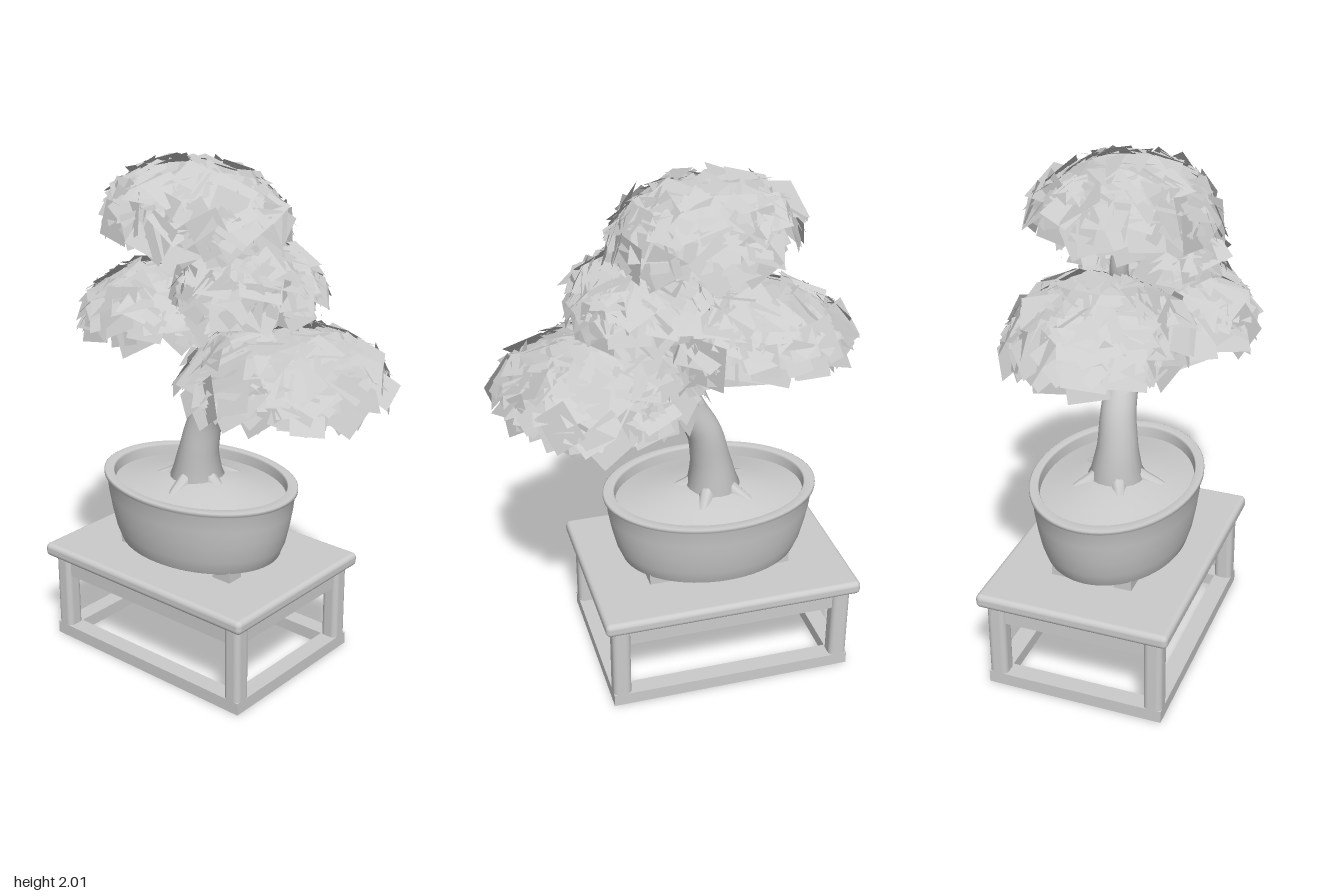
import * as THREE from 'three';
import { mergeGeometries } from 'three/addons/utils/BufferGeometryUtils.js';
import { RoundedBoxGeometry } from 'three/addons/geometries/RoundedBoxGeometry.js';

const grey = new THREE.MeshStandardMaterial({ color: 0xcccccc });
const greyDouble = new THREE.MeshStandardMaterial({ color: 0xcccccc, side: THREE.DoubleSide });
const CX = -0.155, CZ = -0.008; // centre of stand and pot

let seed = 7;
const rand = () => {
  seed = (seed * 16807) % 2147483647;
  return seed / 2147483647;
};
const spread = (a) => (rand() * 2 - 1) * a;

function add(parent, name, geometry, x = 0, y = 0, z = 0, material = grey) {
  const mesh = new THREE.Mesh(geometry, material);
  mesh.name = name;
  mesh.position.set(x, y, z);
  parent.add(mesh);
  return mesh;
}

// Tube along points [x, y, z, radius], tapering between the given radii
function taperedTube(points, segments = 32, sides = 14) {
  const curve = new THREE.CatmullRomCurve3(points.map((p) => new THREE.Vector3(p[0], p[1], p[2])));
  const geo = new THREE.TubeGeometry(curve, segments, 1, sides);
  const pos = geo.attributes.position, v = new THREE.Vector3();
  for (let i = 0; i <= segments; i++) {
    const c = curve.getPointAt(i / segments);
    const t = curve.getUtoTmapping(i / segments) * (points.length - 1);
    const k = Math.min(Math.floor(t), points.length - 2);
    const r = THREE.MathUtils.lerp(points[k][3], points[k + 1][3], t - k);
    for (let j = 0; j <= sides; j++) {
      const n = i * (sides + 1) + j;
      v.fromBufferAttribute(pos, n).sub(c).multiplyScalar(r).add(c);
      pos.setXYZ(n, v.x, v.y, v.z);
    }
  }
  return geo;
}

// Lathe with an oval plan
function ovalLathe(profile, depthRatio) {
  const geo = new THREE.LatheGeometry(profile.map((p) => new THREE.Vector2(p[0], p[1])), 64);
  return geo.scale(1, 1, depthRatio);
}

function createStand() {
  const stand = new THREE.Group();
  stand.name = 'stand';
  stand.position.set(CX, 0, CZ);
  add(stand, 'standTop', new RoundedBoxGeometry(1.03, 0.055, 0.755, 4, 0.02), 0, 0.3875, 0);
  for (const s of [-1, 1]) {
    for (const t of [-1, 1]) {
      add(stand, 'standLeg', new RoundedBoxGeometry(0.072, 0.365, 0.072, 4, 0.022), s * 0.449, 0.1825, t * 0.312);
    }
    add(stand, 'longApron', new THREE.BoxGeometry(0.86, 0.08, 0.04), 0, 0.32, s * 0.312);
    add(stand, 'shortApron', new THREE.BoxGeometry(0.04, 0.08, 0.6), s * 0.449, 0.32, 0);
    add(stand, 'longRail', new THREE.BoxGeometry(0.97, 0.05, 0.07), 0, 0.025, s * 0.313);
    add(stand, 'shortRail', new THREE.BoxGeometry(0.07, 0.05, 0.556), s * 0.45, 0.025, 0);
  }
  return stand;
}

function createPot() {
  const pot = new THREE.Group();
  pot.name = 'pot';
  pot.position.set(CX, 0, CZ);
  add(pot, 'potBowl', ovalLathe([
    [0, 0.45], [0.345, 0.45], [0.355, 0.455], [0.378, 0.51], [0.395, 0.58], [0.408, 0.65], [0.415, 0.715],
    [0.427, 0.724], [0.427, 0.735], [0.422, 0.738], [0.385, 0.738], [0.38, 0.73], [0.378, 0.66],
  ], 0.75), 0, 0, 0, greyDouble);
  add(pot, 'soil', ovalLathe([[0.38, 0.69], [0.33, 0.7], [0.25, 0.718], [0.15, 0.74], [0.07, 0.75], [0, 0.752]], 0.75));
  for (const s of [-1, 1]) for (const t of [-1, 1]) {
    add(pot, 'potFoot', new THREE.BoxGeometry(0.085, 0.05, 0.07), s * 0.245, 0.435, t * 0.125);
  }
  return pot;
}

function createWood() {
  const wood = new THREE.Group();
  wood.name = 'wood';
  add(wood, 'trunk', taperedTube([
    [-0.165, 0.7, CZ, 0.135], [-0.165, 0.76, CZ, 0.1], [-0.155, 0.86, CZ, 0.078], [-0.128, 0.98, -0.015, 0.068],
    [-0.068, 1.1, -0.02, 0.062], [-0.025, 1.22, -0.02, 0.054], [-0.04, 1.34, -0.015, 0.046],
    [-0.11, 1.46, 0, 0.04], [-0.178, 1.58, 0.01, 0.034], [-0.18, 1.68, 0.02, 0.03], [-0.13, 1.84, 0.02, 0.015],
  ], 70, 20));
  const branches = {
    rightBranch: [[-0.05, 1.1, -0.02, 0.035], [0.06, 1.14, -0.02, 0.027], [0.15, 1.19, -0.02, 0.021], [0.27, 1.32, 0, 0.012]],
    leftBranch: [[-0.04, 1.3, -0.015, 0.035], [-0.13, 1.35, -0.01, 0.026], [-0.23, 1.39, -0.01, 0.02], [-0.34, 1.48, 0, 0.012]],
    middleBranch: [[-0.08, 1.42, 0, 0.03], [0, 1.49, 0.01, 0.022], [0.06, 1.55, 0.02, 0.018], [0.12, 1.64, 0.02, 0.012]],
  };
  for (const [name, points] of Object.entries(branches)) add(wood, name, taperedTube(points, 18, 10));
  // Low surface roots sinking into the soil
  for (let i = 0; i < 5; i++) {
    const a = i * 1.257 + 0.2, c = Math.cos(a), s = Math.sin(a);
    const at = (d, y, r) => [-0.165 + c * d, y, CZ + s * d, r];
    add(wood, 'root', taperedTube([at(0.05, 0.77, 0.03), at(0.1, 0.735, 0.03), at(0.15, 0.715, 0.025), at(0.21, 0.69, 0.015)], 10, 8));
  }
  return wood;
}

// Smooth inner dome, hollowed below and clad with large, loosely overlapping leaves
function createPad(name, [x, y, z], [rx, h, rz], tilt, count) {
  const pad = new THREE.Group();
  pad.name = name;
  pad.position.set(x, y, z);
  pad.rotation.z = tilt;
  const core = new THREE.LatheGeometry(
    [[0, 0.38], [0.4, 0.34], [0.7, 0.22], [0.82, 0.18], [0.88, 0.26], [0.84, 0.45], [0.7, 0.68], [0.4, 0.88], [0, 0.95]]
      .map((p) => new THREE.Vector2(p[0], p[1])), 32);
  add(pad, 'foliageCore', core.scale(rx, h, rz));
  const leaves = [], leaf = new THREE.Object3D(), p = new THREE.Vector3(), n = new THREE.Vector3();
  for (let i = 0; i < count; i++) {
    // Even spiral from crown to rim
    const a = i * 2.39996 + spread(0.3);
    const phi = Math.acos(1 - ((i + 0.5) / count) * 0.93);
    const out = Math.pow(Math.sin(phi), 0.9) * (1 + spread(0.06));
    p.set(rx * out * Math.cos(a), h * (Math.cos(phi) + spread(0.06)), rz * out * Math.sin(a));
    n.set(p.x / rx ** 2, (p.y / h ** 2) * 0.8, p.z / rz ** 2).normalize();
    n.x += spread(0.35);
    n.y += spread(0.3) + 0.2;
    n.z += spread(0.35);
    leaf.position.copy(p);
    leaf.lookAt(n.normalize().add(p));
    leaf.rotateZ(rand() * Math.PI);
    leaf.updateMatrix();
    const w = 0.115 + rand() * 0.05;
    leaves.push(new THREE.PlaneGeometry(w, w * (0.8 + rand() * 0.3)).applyMatrix4(leaf.matrix));
  }
  add(pad, 'leaves', mergeGeometries(leaves), 0, 0, 0, greyDouble);
  return pad;
}

export function createModel() {
  const model = new THREE.Group();
  model.name = 'bonsai';
  model.add(createStand(), createPot(), createWood());
  model.add(
    createPad('topFoliage', [-0.13, 1.755, 0.02], [0.335, 0.21, 0.3], -0.1, 190),
    createPad('middleFoliage', [0.115, 1.535, 0.02], [0.24, 0.175, 0.265], -0.06, 150),
    createPad('leftFoliage', [-0.315, 1.365, -0.02], [0.33, 0.195, 0.305], 0.03, 190),
    createPad('rightFoliage', [0.275, 1.21, 0], [0.36, 0.205, 0.355], 0, 220),
  );
  return model;
}
